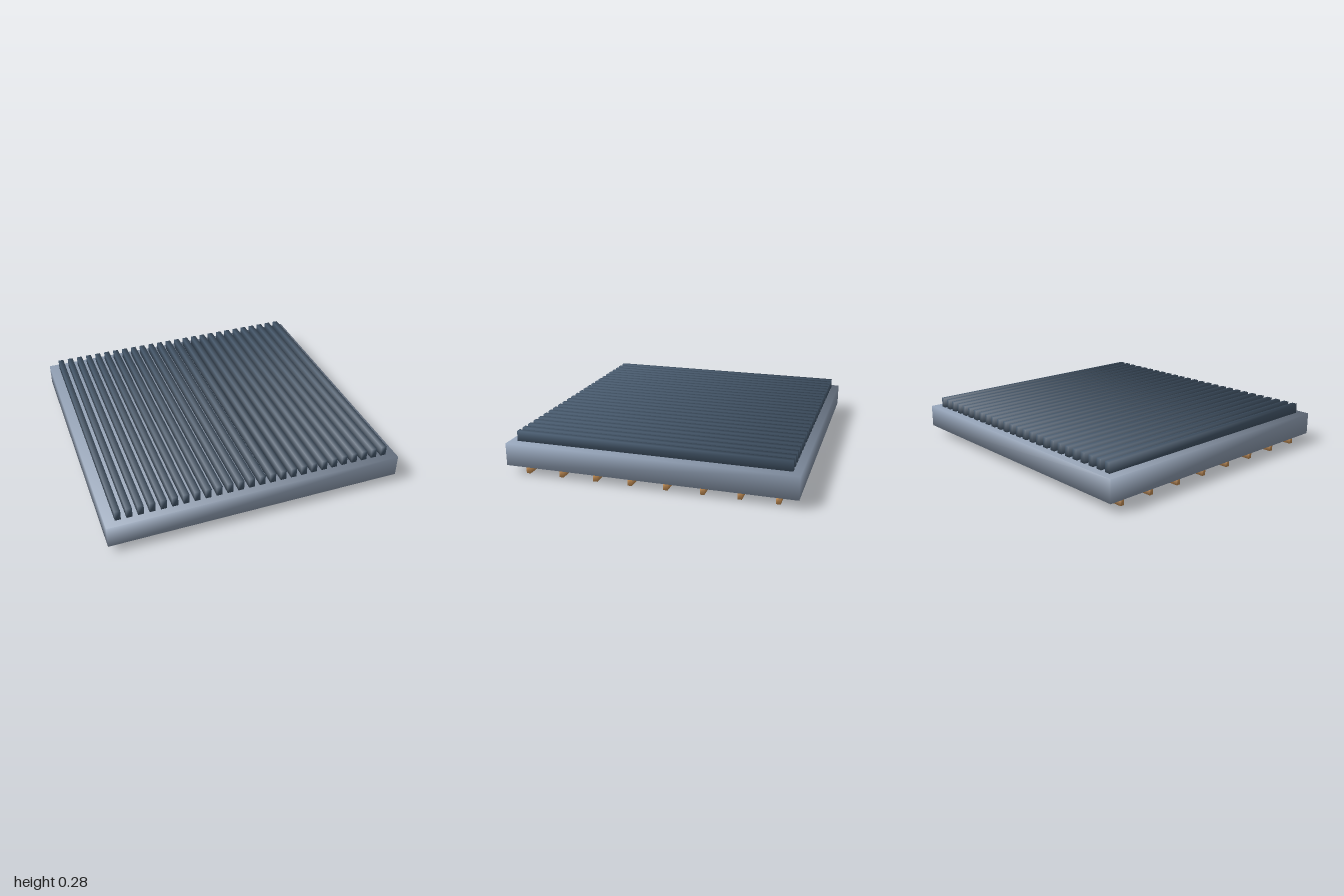
import * as THREE from 'three';

// Box whose corner normals point diagonally outwards, for soft shading
function softBox(w, h, d) {
  const geo = new THREE.BoxGeometry(w, h, d);
  const p = geo.attributes.position;
  const n = geo.attributes.normal;
  const k = 1 / Math.sqrt(3);
  for (let i = 0; i < p.count; i++) {
    n.setXYZ(i, Math.sign(p.getX(i)) * k, Math.sign(p.getY(i)) * k, Math.sign(p.getZ(i)) * k);
  }
  return geo;
}

function material(name, color) {
  const m = new THREE.MeshStandardMaterial({ color });
  m.name = name;
  return m;
}

export function createModel() {
  const model = new THREE.Group();
  model.name = 'finnedPlate';

  const plateGrey = material('plateGrey', 0x94a3b8);
  const finSlate = material('finSlate', 0x475a6e);
  const copper = material('copper', 0xcd9559);

  const add = (parent, name, geo, mat, x, y, z) => {
    const mesh = new THREE.Mesh(geo, mat);
    mesh.name = name;
    mesh.position.set(x, y, z);
    parent.add(mesh);
  };

  // Base plate
  add(model, 'basePlate', softBox(2, 0.15, 1.914), plateGrey, 0, 0.135, 0);

  // Fins running front to back on top of the plate
  const fins = new THREE.Group();
  fins.name = 'fins';
  const finGeo = softBox(0.038, 0.07, 1.81);
  for (let i = 0; i < 26; i++) {
    add(fins, 'fin', finGeo, finSlate, -0.914 + (i * 1.828) / 25, 0.243, 0);
  }
  model.add(fins);

  // Copper bars running left to right, just below the plate
  const bars = new THREE.Group();
  bars.name = 'bars';
  const barGeo = softBox(1.914, 0.048, 0.028);
  for (let i = 0; i < 8; i++) {
    add(bars, 'bar', barGeo, copper, 0, 0.024, -0.828 + (i * 1.656) / 7);
  }
  model.add(bars);

  return model;
}
